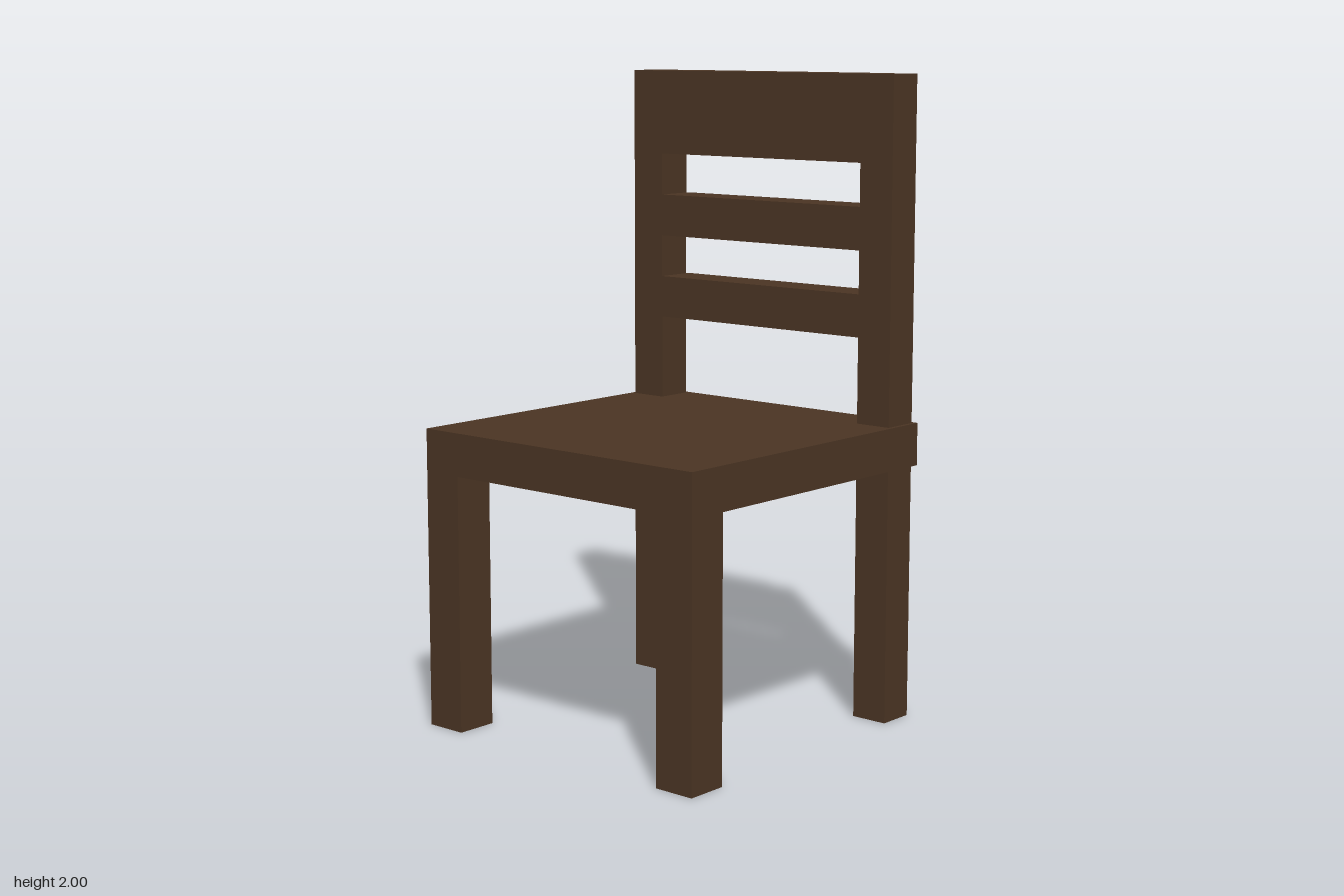
import * as THREE from 'three';

const wood = new THREE.MeshStandardMaterial({ color: 0x4a3423, side: THREE.DoubleSide });
wood.name = 'darkWood';

// Box given by its limits on each axis; openBottom leaves out the underside
function box(name, [x0, x1], [y0, y1], [z0, z1], openBottom = false) {
  const geo = new THREE.BoxGeometry(x1 - x0, y1 - y0, z1 - z0);
  if (openBottom) {
    const faces = Array.from(geo.index.array);
    faces.splice(18, 6); // fourth side is the underside
    geo.setIndex(faces);
    geo.clearGroups();
  }
  geo.translate((x0 + x1) / 2, (y0 + y1) / 2, (z0 + z1) / 2);
  const mesh = new THREE.Mesh(geo, wood);
  mesh.name = name;
  return mesh;
}

export function createModel() {
  const chair = new THREE.Group();
  chair.name = 'chair';

  const half = 0.533;  // half width of the seat
  const inner = 0.4;   // inner faces of the legs
  const post = 0.52;   // outer faces of the slightly inset back posts

  chair.add(box('seat', [-half, half], [0.8, 0.933], [-half, half]));

  // Front legs flush with the seat, back posts running up to the top
  for (const [side, s] of [['left', 1], ['right', -1]]) {
    const span = (outer) => (s > 0 ? [inner, outer] : [-outer, -inner]);
    chair.add(box(side + 'FrontLeg', span(half), [0, 0.8], [inner, half], true));
    chair.add(box(side + 'BackLeg', span(post), [0, 0.8], [-post, -inner], true));
    chair.add(box(side + 'BackPost', span(post), [0.933, 2], [-post, -inner]));
  }

  // Backrest: two slats and a taller top rail
  const slats = [
    ['lowerSlat', 1.2, 1.333],
    ['upperSlat', 1.467, 1.6],
    ['topRail', 1.733, 2],
  ];
  for (const [name, y0, y1] of slats) {
    chair.add(box(name, [-inner, inner], [y0, y1], [-half, -inner]));
  }

  return chair;
}
